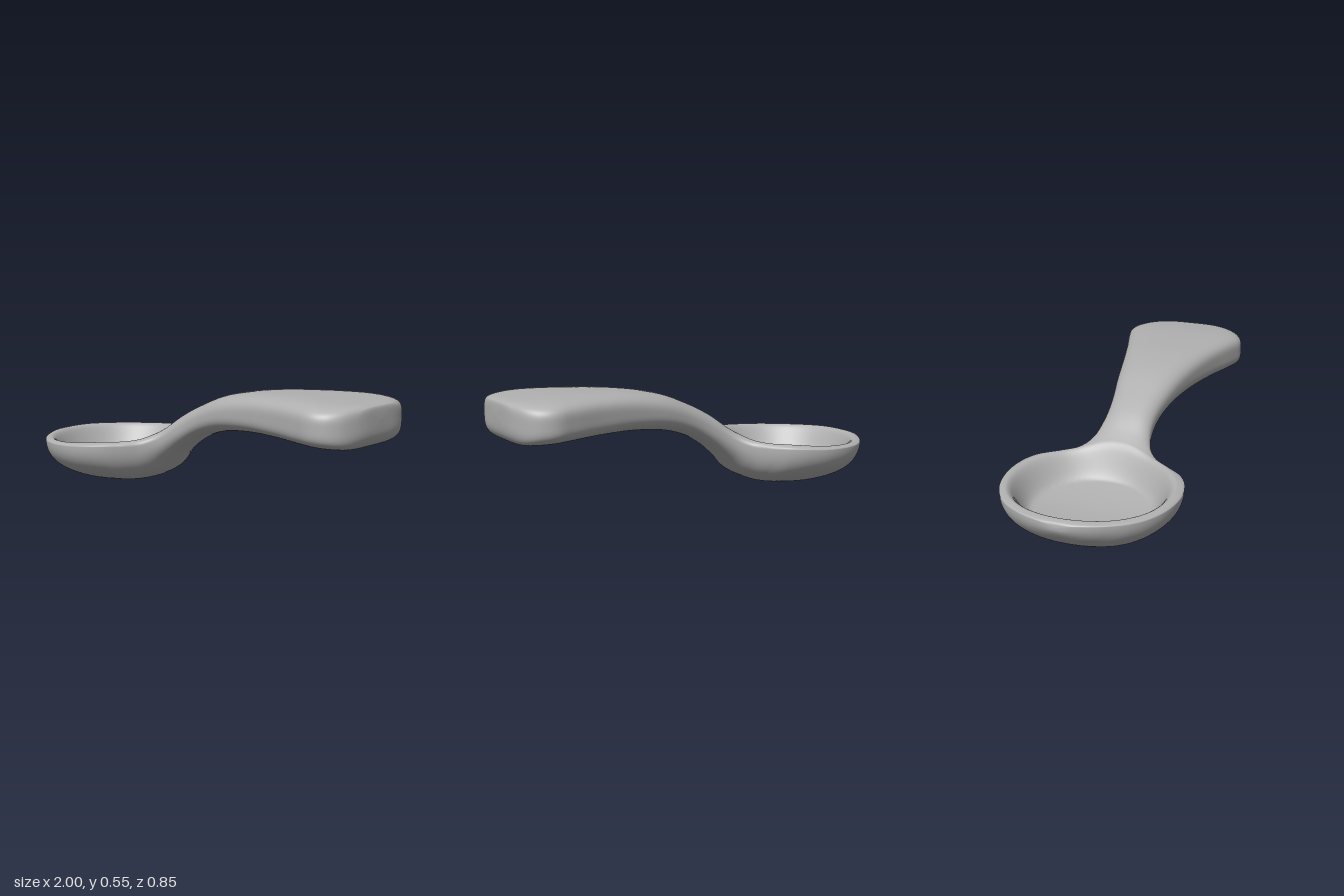
import * as THREE from 'three';

const { smoothstep } = THREE.MathUtils;

// Stations along the spoon: [x, half width, top y, bottom y]
const stations = [
  [-1, 0, 0.2, 0.2], [-0.995, 0.07, 0.221, 0.178], [-0.975, 0.145, 0.229, 0.148],
  [-0.94, 0.215, 0.232, 0.11], [-0.88, 0.296, 0.235, 0.064], [-0.8, 0.361, 0.24, 0.025],
  [-0.7, 0.406, 0.246, 0.008], [-0.58, 0.424, 0.252, 0.002], [-0.47, 0.406, 0.259, 0.007],
  [-0.39, 0.362, 0.263, 0.017], [-0.33, 0.292, 0.266, 0.04], [-0.27, 0.208, 0.278, 0.075],
  [-0.2, 0.15, 0.318, 0.143], [-0.1, 0.126, 0.389, 0.224], [0.02, 0.131, 0.45, 0.288],
  [0.18, 0.161, 0.51, 0.331], [0.38, 0.203, 0.542, 0.35], [0.58, 0.254, 0.553, 0.352],
  [0.74, 0.302, 0.555, 0.347], [0.83, 0.322, 0.552, 0.344], [0.9, 0.305, 0.547, 0.343],
  [0.95, 0.262, 0.542, 0.346], [0.98, 0.2, 0.535, 0.368], [0.996, 0.12, 0.522, 0.405],
  [1, 0, 0.47, 0.47],
];
const outline = new THREE.SplineCurve(stations.map(s => new THREE.Vector2(s[0], s[1])));
const heights = new THREE.SplineCurve(stations.map(s => new THREE.Vector2(s[2], s[3])));

// Depth of the scooped hollow below the rim
function hollow(x, z) {
  const r = Math.hypot((x + 0.605) / 0.335, z / 0.365);
  return 0.125 * (1 - smoothstep(r, 0.76, 1.08)) + 0.045 * Math.max(0, 1 - r * r);
}

// One closed surface lofted along x: a rounded section, hollowed on top in the bowl
function spoonGeometry(rows = 264, half = 80) {
  const ring = half * 2, positions = [], indices = [];
  for (let i = 0; i <= rows; i++) {
    const { x, y: w } = outline.getPoint(i / rows);
    const { x: top, y: bottom } = heights.getPoint(i / rows);
    const handle = smoothstep(x, -0.42, -0.05);
    const widest = THREE.MathUtils.lerp(bottom, top, 0.86 - 0.36 * handle);
    const power = 2.2 + 0.3 * handle + 1.3 * smoothstep(x, 0, 0.8);
    for (let j = 0; j < ring; j++) {
      const upper = j < half;
      // Crowd the points toward the side edges
      const s = Math.sin(Math.PI / 2 * Math.cos(j / half * Math.PI));
      const rise = Math.pow(Math.max(0, 1 - Math.pow(Math.abs(s), power)), 1 / power);
      const z = Math.max(0, w) * s;
      const y = upper
        ? widest + (top - widest) * rise - hollow(x, z)
        : widest - (widest - bottom) * rise;
      positions.push(x, y, z);
    }
  }
  for (let i = 0; i < rows; i++) {
    for (let j = 0; j < ring; j++) {
      const k = (j + 1) % ring;
      const a = i * ring + j, b = a + ring, c = (i + 1) * ring + k, d = i * ring + k;
      indices.push(a, b, c, a, c, d);
    }
  }
  const geometry = new THREE.BufferGeometry();
  geometry.setAttribute('position', new THREE.Float32BufferAttribute(positions, 3));
  geometry.setIndex(indices);
  geometry.computeVertexNormals();
  return geometry;
}

export function createModel() {
  const grey = new THREE.MeshStandardMaterial({ color: 0xb0b0b0 });
  grey.name = 'grey';
  const group = new THREE.Group();
  group.name = 'spoon';
  const body = new THREE.Mesh(spoonGeometry(), grey);
  body.name = 'bowlAndHandle';
  group.add(body);
  return group;
}
